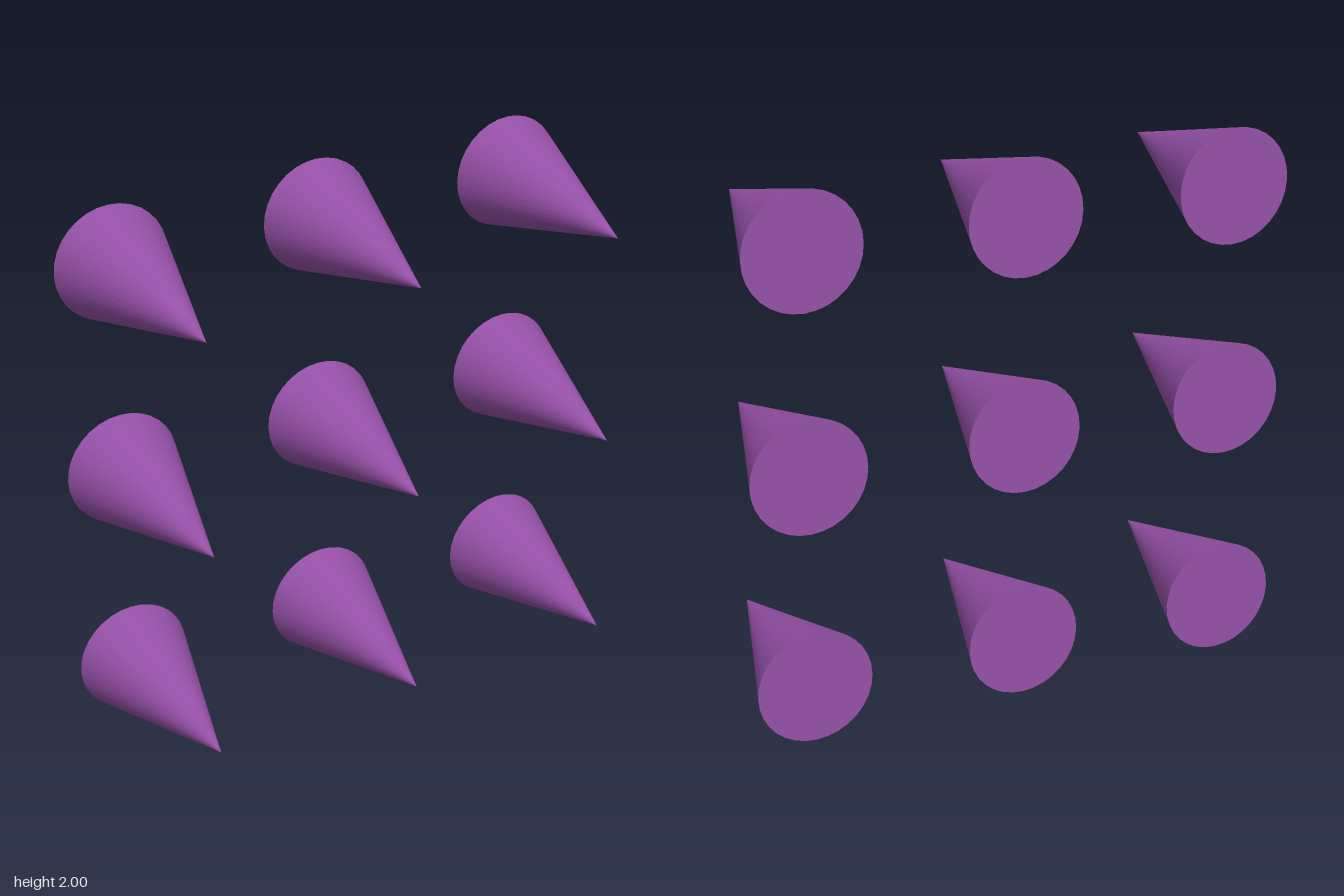
import * as THREE from 'three';

const RADIUS = 0.21;
const LENGTH = 0.7;
const SPACING = 0.79;

export function createModel() {
  const model = new THREE.Group();
  model.name = 'spikeGrid';

  const material = new THREE.MeshStandardMaterial({ color: 0x9650a8 });

  // One closed cone, tip turned towards the front
  const spike = new THREE.ConeGeometry(RADIUS, LENGTH, 32);
  spike.rotateX(Math.PI / 2);

  // Three rows of three spikes
  ['bottom', 'middle', 'top'].forEach((rowName, row) => {
    ['Right', 'Centre', 'Left'].forEach((columnName, column) => {
      const mesh = new THREE.Mesh(spike, material);
      mesh.name = `${rowName}${columnName}Spike`;
      mesh.position.set((column - 1) * SPACING, RADIUS + row * SPACING, 0);
      model.add(mesh);
    });
  });

  return model;
}
